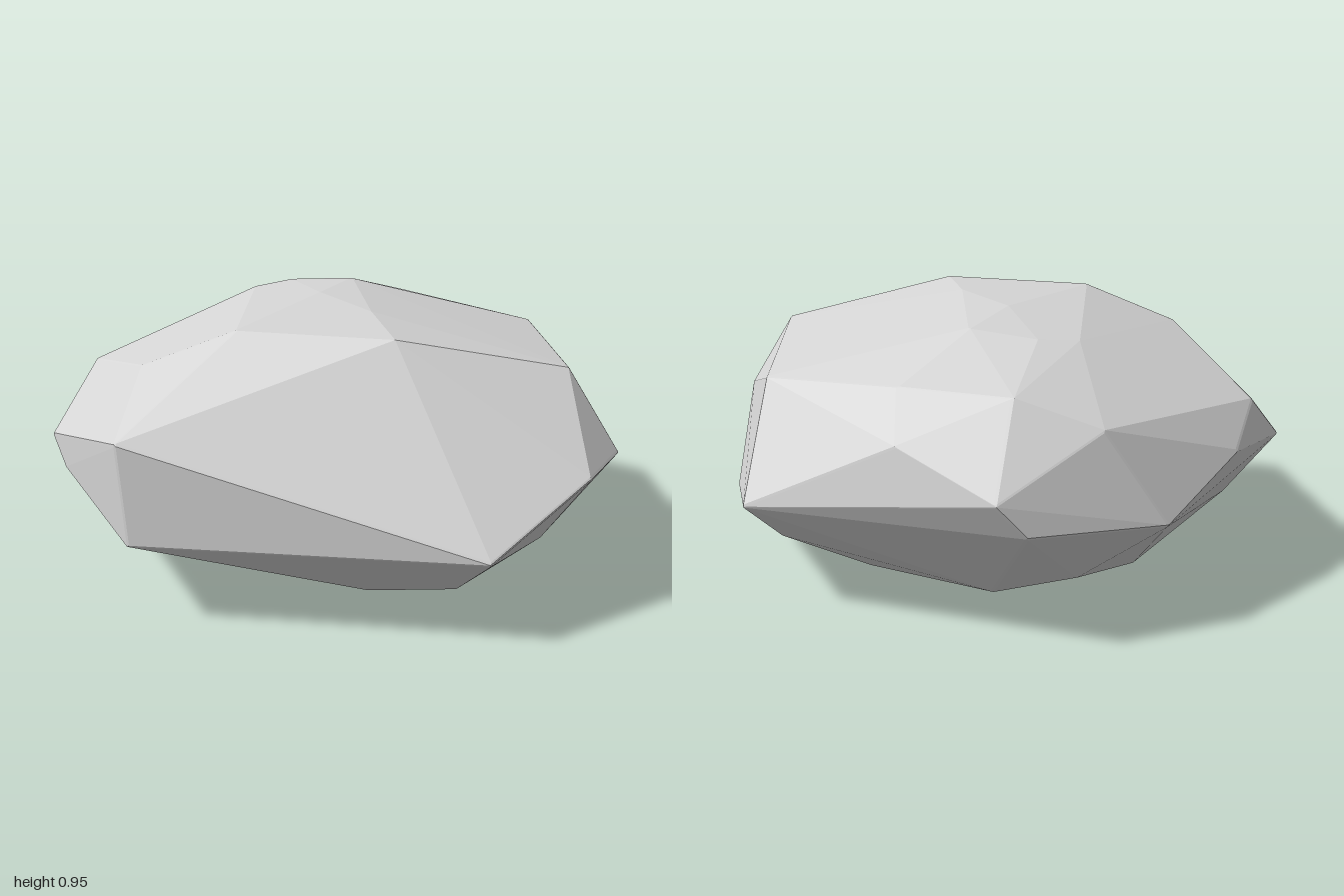
import * as THREE from 'three';
import { ConvexGeometry } from 'three/addons/geometries/ConvexGeometry.js';

// Corners of the faceted boulder, grouped by height
const crown = [
  [0.15, 0.955, 0.02], [-0.15, 0.955, 0], [0, 0.94, 0.49], [0.42, 0.94, 0.15],
  [-0.52, 0.9, 0.02], [-0.47, 0.915, -0.12], [-0.28, 0.935, -0.26],
];
const shoulder = [
  [-0.22, 0.81, 0.73], [0.71, 0.8, -0.39], [0.14, 0.76, -0.8], [-0.68, 0.81, -0.38],
  [-0.36, 0.81, -0.6], [-0.86, 0.71, -0.16], [-0.78, 0.66, 0.58], [0.03, 0.67, 1],
  [-0.5, 0.67, -0.7],
];
const girdle = [
  [0.975, 0.525, -0.22], [0.87, 0.52, -0.48], [0.94, 0.335, 0.2], [0.05, 0.32, 0.985],
  [-0.67, 0.46, 0.84], [-0.55, 0.38, 0.865], [-0.89, 0.54, 0.4], [-0.98, 0.4, 0.01],
  [-0.86, 0.43, -0.46], [-0.82, 0.54, -0.55], [-0.04, 0.4, -1], [0.52, 0.25, -0.74],
];
const base = [
  [0.69, 0.12, 0.1], [0.37, 0.025, 0.22], [0.53, 0.07, -0.5], [0.08, 0.21, -0.8],
  [-0.01, 0.05, -0.5], [-0.2, 0.005, -0.13], [0.08, 0, 0.05], [-0.56, 0.06, 0.26],
  [-0.48, 0.07, -0.31], [-0.65, 0.125, -0.08], [-0.2, 0.07, 0.4], [-0.2, 0.165, 0.62],
  [-0.56, 0.24, 0.7],
];

const CENTRE = new THREE.Vector3(0, 0.48, 0);
const WEAR = 0.01; // radius of the worn edges

// Directions of a small ball that blunts every corner and edge
function ballDirections() {
  const p = new THREE.IcosahedronGeometry(1, 0).attributes.position;
  const unique = new Map();
  for (let i = 0; i < p.count; i++) {
    const v = new THREE.Vector3().fromBufferAttribute(p, i);
    unique.set(v.toArray().map((n) => Math.round(n * 100)).join(), v);
  }
  return [...unique.values()];
}

export function createModel() {
  const group = new THREE.Group();
  group.name = 'boulder';

  const stoneGrey = new THREE.MeshStandardMaterial({ color: 0xd6d6d6 });
  stoneGrey.name = 'stone grey';

  // Pull each corner in by the wear radius, then put a ball there
  const directions = ballDirections();
  const points = [...crown, ...shoulder, ...girdle, ...base].flatMap((c) => {
    const corner = new THREE.Vector3(...c);
    const inward = CENTRE.clone().sub(corner).setLength(WEAR);
    corner.add(inward);
    return directions.map((d) => corner.clone().addScaledVector(d, WEAR));
  });

  // One solid stone with flat facets and narrow worn edges
  const stone = new THREE.Mesh(new ConvexGeometry(points), stoneGrey);
  stone.name = 'stone';
  group.add(stone);

  return group;
}
